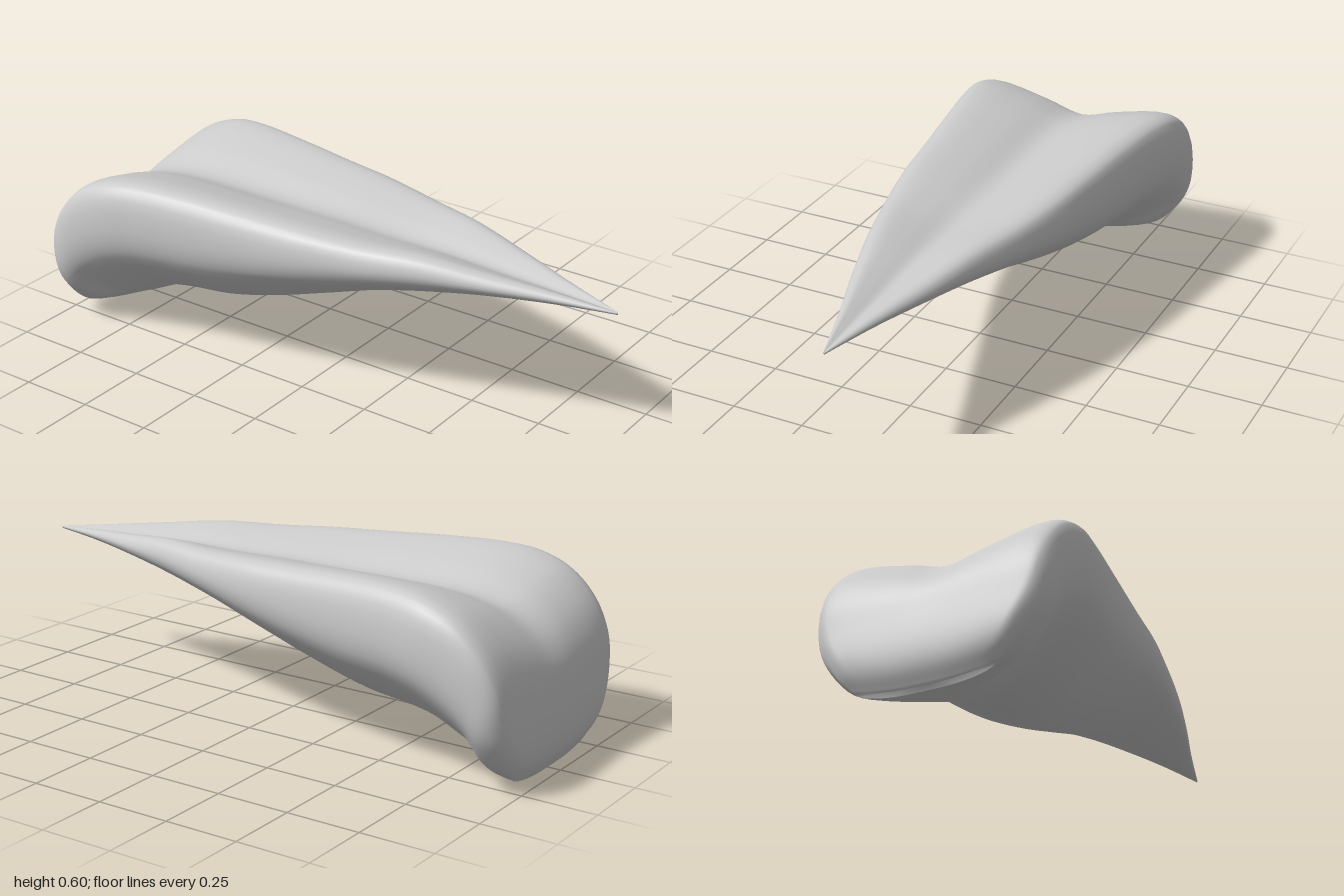
import * as THREE from 'three';

const { clamp, lerp } = THREE.MathUtils;

// Stations from tip to rear: top z, top y, bottom z, bottom y, half width, groove depth (fraction)
const STATIONS = [
  [1, 0.48, 1, 0.472, 0.004, 0.1],
  [0.8, 0.506, 0.8, 0.455, 0.067, 0.32],
  [0.6, 0.531, 0.6, 0.43, 0.137, 0.32],
  [0.4, 0.556, 0.4, 0.39, 0.2, 0.28],
  [0.2, 0.562, 0.2, 0.34, 0.255, 0.22],
  [0, 0.575, 0, 0.27, 0.3, 0.18],
  [-0.2, 0.586, -0.2, 0.2, 0.328, 0.17],
  [-0.4, 0.598, -0.38, 0.15, 0.355, 0.17],
  [-0.6, 0.602, -0.55, 0.13, 0.383, 0.17],
  [-0.72, 0.588, -0.65, 0.11, 0.4, 0.16],
  [-0.83, 0.545, -0.73, 0.075, 0.404, 0.13],
  [-0.92, 0.46, -0.8, 0.042, 0.4, 0.09],
  [-0.97, 0.36, -0.86, 0.028, 0.388, 0.05],
  [-0.99, 0.25, -0.9, 0.02, 0.362, 0.02],
  [-1, 0.13, -0.93, 0.012, 0.315, 0],
  [-0.993, 0.07, -0.945, 0.008, 0.28, 0],
  [-0.968, 0.018, -0.955, 0.006, 0.235, 0],
];

// Control points of one cross-section, clockwise from the top centre
function section([zt, yt, zb, yb, w, g]) {
  const wide = w / 0.4;
  const rear = clamp((-0.8 - zb) / 0.13, 0, 1);
  const half = [
    [0.36, 1 - 0.45 * g], // groove flank
    [lerp(0.64, 0.82, wide), 1], // ridge
    [lerp(0.88, 0.95, wide), lerp(0.9, 0.95, wide)],
    [1, 0.68], // widest point
    [lerp(0.93, 0.96, rear), lerp(0.46, 0.36, rear)],
    [lerp(0.62, 0.8, rear), lerp(0.21, 0.07, rear)], // belly, squarer at the rear
    [lerp(0.3, 0.42, rear), lerp(0.055, 0, rear)],
  ];
  const outline = [
    [0, 1 - g], ...half, [0, 0],
    ...half.slice().reverse().map(([x, t]) => [-x, t]),
  ];
  return outline.map(([u, t]) => {
    const x = u * w;
    const y = lerp(yb, yt, t);
    // the rear lower edge curves up towards the corners
    const lift = 0.035 * rear * Math.pow(Math.abs(x) / 0.25, 3) * Math.max(0, 1 - y / 0.25);
    return new THREE.Vector3(x, y + lift, lerp(zb, zt, t));
  });
}

// Smooth skin through all sections, closed at both ends
function loft(sections, rows, cols) {
  const rails = sections[0].map((_, j) =>
    new THREE.CatmullRomCurve3(sections.map((s) => s[j]), false, 'centripetal'));
  const pos = [], index = [];
  for (let i = 0; i <= rows; i++) {
    const ring = new THREE.CatmullRomCurve3(rails.map((r) => r.getPoint(i / rows)), true, 'centripetal');
    for (let j = 0; j < cols; j++) pos.push(...ring.getPoint(j / cols).toArray());
  }
  for (let i = 0; i < rows; i++) {
    for (let j = 0; j < cols; j++) {
      const a = i * cols + j, b = i * cols + ((j + 1) % cols);
      index.push(a, b, a + cols, b, b + cols, a + cols);
    }
  }
  // end caps
  [0, rows].forEach((row) => {
    const centre = pos.length / 3;
    const mid = new THREE.Vector3();
    sections[row ? sections.length - 1 : 0].forEach((p, _, all) => mid.addScaledVector(p, 1 / all.length));
    pos.push(...mid.toArray());
    for (let j = 0; j < cols; j++) {
      const a = row * cols + j, b = row * cols + ((j + 1) % cols);
      if (row) index.push(centre, a, b);
      else index.push(centre, b, a);
    }
  });
  const geo = new THREE.BufferGeometry();
  geo.setAttribute('position', new THREE.Float32BufferAttribute(pos, 3));
  geo.setIndex(index);
  geo.computeBoundingBox();
  geo.translate(0, -geo.boundingBox.min.y, 0);
  geo.computeVertexNormals();
  return geo;
}

export function createModel() {
  const group = new THREE.Group();
  group.name = 'taperedWedge';
  const body = new THREE.Mesh(
    loft(STATIONS.map(section), 96, 64),
    new THREE.MeshStandardMaterial({ color: 0xcccccc }));
  body.name = 'groovedBody';
  group.add(body);
  return group;
}
